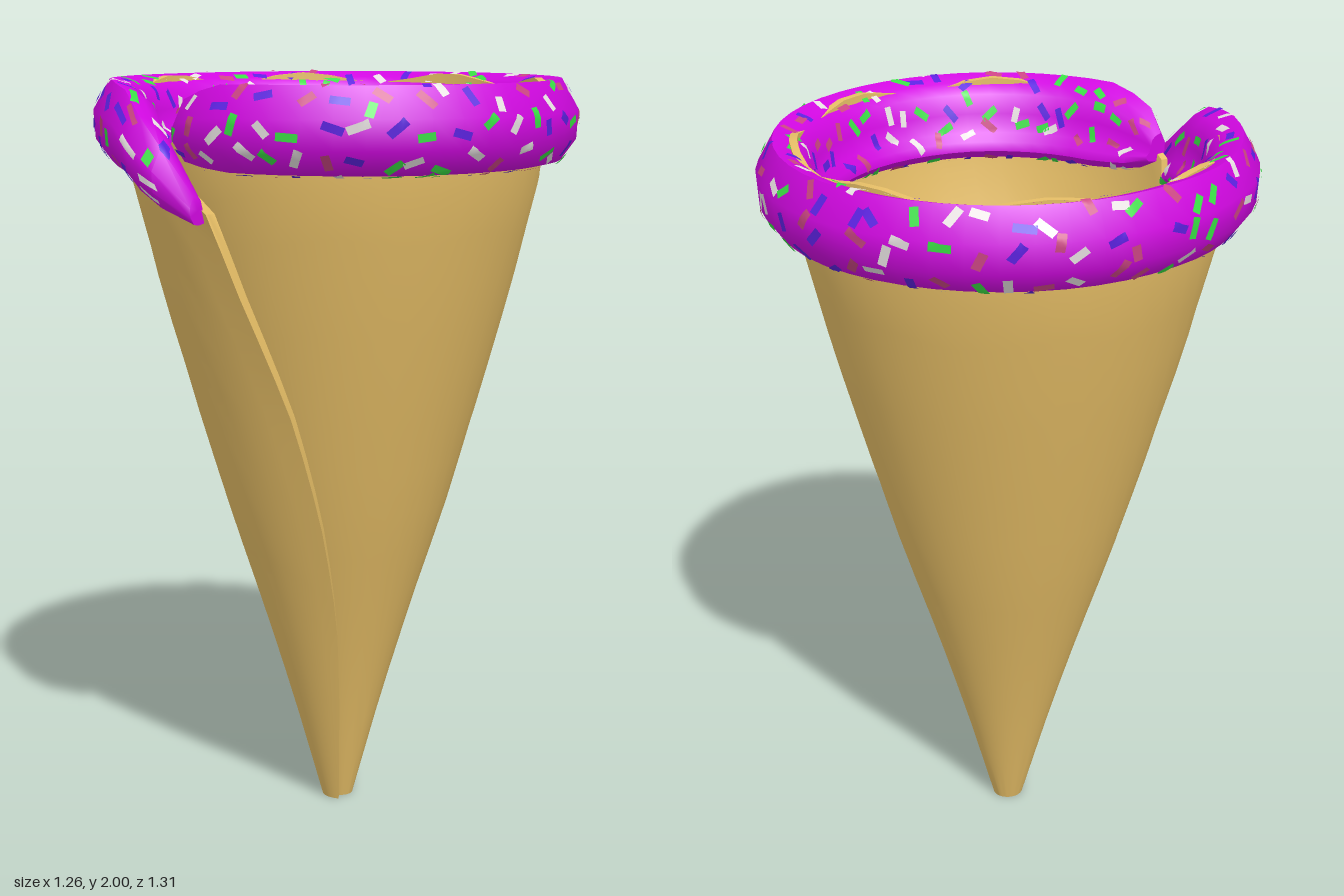
import * as THREE from 'three';
import { mergeGeometries, toCreasedNormals } from 'three/addons/utils/BufferGeometryUtils.js';

const RAD = Math.PI / 180;
const colour = (name, color, side = THREE.FrontSide) => {
  const m = new THREE.MeshStandardMaterial({ color, side });
  m.name = name;
  return m;
};

// Linear lookup in rows of [key, value, value...]
function lookup(rows, k) {
  let i = 0;
  while (i < rows.length - 2 && k > rows[i + 1][0]) i++;
  const a = rows[i], b = rows[i + 1];
  const f = THREE.MathUtils.clamp((k - a[0]) / (b[0] - a[0]), 0, 1);
  return a.slice(1).map((v, n) => v + (b[n + 1] - v) * f);
}

// Point at an angle measured from the front towards +x
const polar = (deg, r, y) => new THREE.Vector3(r * Math.sin(deg * RAD), y, r * Math.cos(deg * RAD));

// Skin through closed rings of equal point count
function loft(rings, crease) {
  const n = rings[0].length, index = [];
  for (let i = 0; i < rings.length - 1; i++) {
    for (let j = 0; j < n; j++) {
      const a = i * n + j, c = i * n + (j + 1) % n;
      index.push(a, a + n, c, a + n, c + n, c);
    }
  }
  const g = new THREE.BufferGeometry().setFromPoints(rings.flat());
  g.setIndex(index);
  return toCreasedNormals(g, crease);
}

// Rolled wafer: height -> radius, inner edge angle, outer edge angle
const WAFER = [
  [0, 0.03, -8, 50], [0.3, 0.112, -12, 50], [0.55, 0.188, -16, 48], [0.85, 0.285, -22, 41],
  [1.15, 0.372, -26, 32], [1.45, 0.455, -18, 20], [1.78, 0.535, -8, 9], [2, 0.54, -5, 6],
];
// Height of the rim along the roll, dipping where the two ends overlap
const RIM = [[0, 1.84], [0.05, 1.95], [0.1, 1.984], [0.88, 1.984], [0.93, 1.93], [0.97, 1.8], [1, 1.68]];

function waferPoint(t, v, half) {
  const wave = t > 0.1 && t < 0.88 ? 0.014 * Math.sin(t * 50) : 0;
  const y = v * (lookup(RIM, t)[0] + wave);
  const [r, a0, a1] = lookup(WAFER, y);
  // The two ends spread apart where they overlap at the front
  const spread = 0.24 * (t - 0.5) ** 3 * Math.min(1, 0.7 + y);
  return polar(a0 + (a1 + 360 - a0) * t, Math.max(0.004, r + spread + half), y);
}

function waferGeometry() {
  const cols = 44, rows = 16, rings = [];
  const ring = (t, inner, outer) => {
    const pts = [];
    for (let k = rows; k >= 0; k--) pts.push(waferPoint(t, k / rows, -inner));
    for (let k = 0; k <= rows; k++) pts.push(waferPoint(t, k / rows, outer));
    return pts;
  };
  rings.push(ring(0, 0, 0));
  for (let i = 0; i <= cols; i++) {
    const t = i / cols;
    rings.push(ring(t, 0.01 + 0.014 * THREE.MathUtils.smoothstep(t, 0.85, 1), 0.01));
  }
  rings.push(ring(1, 0, 0));
  return loft(rings, 0.7);
}

// Icing path: angle -> radius, height, thickness scale
const ICING = [
  [-5, 0.49, 1.87, 0.35], [4, 0.5, 1.88, 0.8], [18, 0.505, 1.89, 1], [60, 0.53, 1.89, 1],
  [90, 0.535, 1.89, 1], [180, 0.555, 1.89, 1], [270, 0.535, 1.89, 1], [335, 0.56, 1.89, 1],
  [348, 0.57, 1.875, 0.98], [360, 0.585, 1.795, 0.82], [366, 0.58, 1.745, 0.62], [371, 0.565, 1.69, 0.33],
];
// Icing cross-section, from the top round the inside
const SECTION = [
  [0.045, 0.11], [0, 0.095], [-0.035, 0.07], [-0.05, 0.02], [-0.062, -0.03], [-0.087, -0.05],
  [-0.09, -0.075], [-0.06, -0.1], [0, -0.11], [0.045, -0.1], [0.085, -0.045], [0.09, 0.03],
];
const STEPS = 50;
const STEP_LENGTH = 0.555 * RAD * 376 / STEPS;

function icingRing(i, squeeze = 1) {
  const deg = -5 + 376 * i / STEPS;
  const [r, y, s] = lookup(ICING, deg);
  return SECTION.map(([dr, dy]) => polar(deg, r + dr * s * squeeze, y + dy * s * squeeze));
}

// Distance around the cross-section -> section index
const GIRTH = [[0, 0]];
SECTION.forEach(([x, y], j) => {
  const [x2, y2] = SECTION[(j + 1) % SECTION.length];
  GIRTH.push([GIRTH[j][0] + Math.hypot(x2 - x, y2 - y), j + 1]);
});
const AROUND = GIRTH[SECTION.length][0];

// Point just above the icing, at a distance along and around the roll
function onIcing(rings, along, around) {
  const u = THREE.MathUtils.clamp(along / STEP_LENGTH, 0, STEPS - 0.001), i = Math.floor(u);
  const w = lookup(GIRTH, (around + AROUND) % AROUND)[0];
  const j = Math.min(Math.floor(w), SECTION.length - 1), j2 = (j + 1) % SECTION.length;
  const [a, b, c, d] = [rings[i][j], rings[i + 1][j], rings[i][j2], rings[i + 1][j2]];
  const normal = b.clone().sub(a).cross(c.clone().sub(a)).normalize();
  return a.clone().lerp(b, u - i).lerp(c.clone().lerp(d, u - i), w - j).addScaledVector(normal, 0.005);
}

// Thin sprinkles that follow the icing, spread evenly by jittered cells and grouped by colour
function sprinkleSets(rings, sets) {
  let seed = 7;
  const rand = () => (seed = (seed * 16807) % 2147483647) / 2147483647;
  const out = Array.from({ length: sets }, () => []);
  const cols = 50, rows = 8;
  for (let k = 0; k < cols * rows; k++) {
    const along = STEP_LENGTH * (0.5 + (Math.floor(k / rows) + 0.15 + 0.7 * rand()) / cols * (STEPS - 1));
    const around = (k % rows + 0.15 + 0.7 * rand()) / rows * AROUND;
    const g = new THREE.PlaneGeometry(0.04 + 0.014 * rand(), 0.021, 4, 2);
    g.rotateZ(rand() * Math.PI);
    const p = g.attributes.position;
    for (let n = 0; n < p.count; n++) {
      const q = onIcing(rings, along + p.getX(n), around + p.getY(n));
      p.setXYZ(n, q.x, q.y, q.z);
    }
    g.computeVertexNormals();
    out[Math.floor(rand() * sets)].push(g);
  }
  return out.map((list) => mergeGeometries(list));
}

export function createModel() {
  const model = new THREE.Group();
  model.name = 'icedWaferCone';
  const add = (name, geometry, material) => {
    const mesh = new THREE.Mesh(geometry, material);
    mesh.name = name;
    model.add(mesh);
    return mesh;
  };

  // Rolled wafer cone with overlapping front flap, and its closed tip
  const wafer = colour('wafer', 0xe6be66, THREE.DoubleSide);
  add('waferCone', waferGeometry(), wafer);
  const tip = add('waferTip', new THREE.CircleGeometry(0.036, 12).rotateX(-Math.PI / 2), wafer);
  tip.position.set(0, 0.015, 0.005);

  // Icing roll around the rim, with closed ends
  const rings = Array.from({ length: STEPS + 1 }, (_, i) => icingRing(i));
  const closed = [icingRing(0, 0), ...rings, icingRing(STEPS, 0)];
  add('icingRim', loft(closed, 0.9), colour('purpleIcing', 0xd208e2));

  // Sprinkles
  const paints = [
    colour('greenSprinkle', 0x3ae046), colour('whiteSprinkle', 0xeae4e4),
    colour('pinkSprinkle', 0xcc4684), colour('blueSprinkle', 0x5c22e0),
  ];
  sprinkleSets(rings, paints.length).forEach((g, i) => add(paints[i].name + 's', g, paints[i]));
  return model;
}
